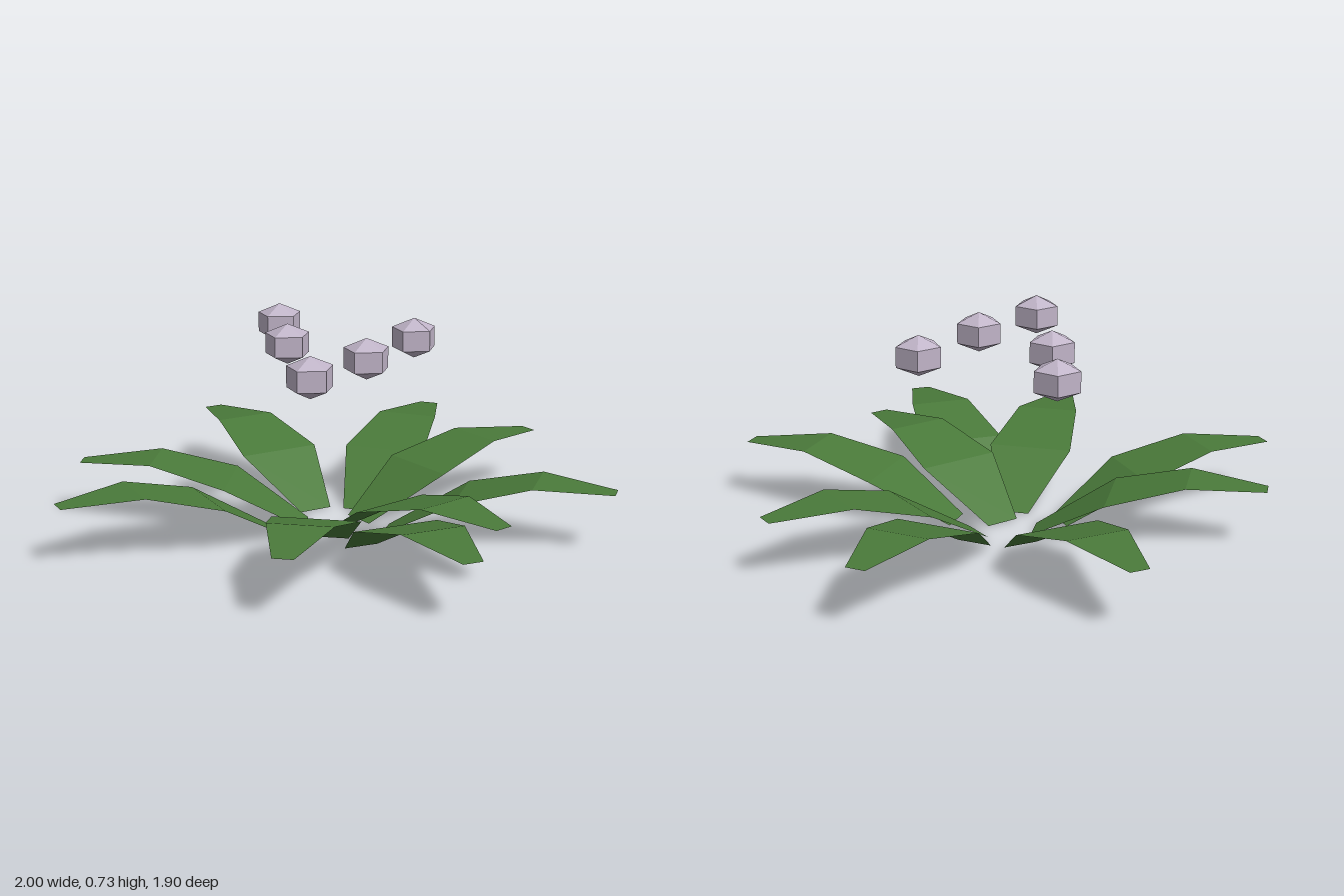
import * as THREE from 'three';

// Arching leaf along +x: four level cross-sections joined into three bent plates
function leafGeometry() {
  const length = 0.81;
  const halfWidths = [0.062, 0.152, 0.112, 0.035];
  const heights = [0, 0.157, 0.226, 0.206];
  const positions = [];
  const index = [];
  halfWidths.forEach((w, i) => {
    const x = (length * i) / 3;
    positions.push(x, heights[i], -w, x, heights[i], w);
    if (i < 3) {
      const a = i * 2;
      index.push(a, a + 1, a + 2, a + 1, a + 3, a + 2);
    }
  });
  const geometry = new THREE.BufferGeometry();
  geometry.setAttribute('position', new THREE.Float32BufferAttribute(positions, 3));
  geometry.setIndex(index);
  const flat = geometry.toNonIndexed();
  flat.computeVertexNormals();
  return flat;
}

export function createModel() {
  const group = new THREE.Group();
  group.name = 'floweringPlant';

  const leafGreen = new THREE.MeshStandardMaterial({ color: 0x4a7a3a, flatShading: true, side: THREE.DoubleSide });
  leafGreen.name = 'leafGreen';
  const paleLilac = new THREE.MeshStandardMaterial({ color: 0xc0b4c8, flatShading: true });
  paleLilac.name = 'paleLilac';

  // Leaves: base x, base z, heading x, heading z
  const leafShape = leafGeometry();
  const leaves = [
    [0.01, -0.02, 1, 0],
    [0.21, 0.046, 0.956, 0.292],
    [0.074, 0.065, 0.625, 0.78],
    [-0.095, 0.155, -0.253, 0.967],
    [-0.107, 0.027, -0.736, 0.677],
    [-0.197, -0.095, -0.982, -0.175],
    [-0.09, -0.212, -0.472, -0.882],
    [-0.013, -0.14, 0.08, -0.997],
    [0.13, -0.137, 0.84, -0.544],
  ];
  leaves.forEach(([x, z, dx, dz], i) => {
    const leaf = new THREE.Mesh(leafShape, leafGreen);
    leaf.name = `leaf${i + 1}`;
    leaf.position.set(x, 0, z);
    leaf.rotation.y = -Math.atan2(dz, dx);
    group.add(leaf);
  });

  // Floating five-sided flower buds, slightly squashed
  const budShape = new THREE.SphereGeometry(0.0924, 5, 3);
  budShape.rotateY(Math.PI);
  budShape.scale(1, 0.775, 1);
  const buds = [[-0.437, -0.128], [-0.152, 0.07], [0.067, -0.328], [0.195, 0.012], [0.27, 0.323]];
  buds.forEach(([x, z], i) => {
    const bud = new THREE.Mesh(budShape, paleLilac);
    bud.name = `bud${i + 1}`;
    bud.position.set(x, 0.654, z);
    group.add(bud);
  });

  return group;
}
